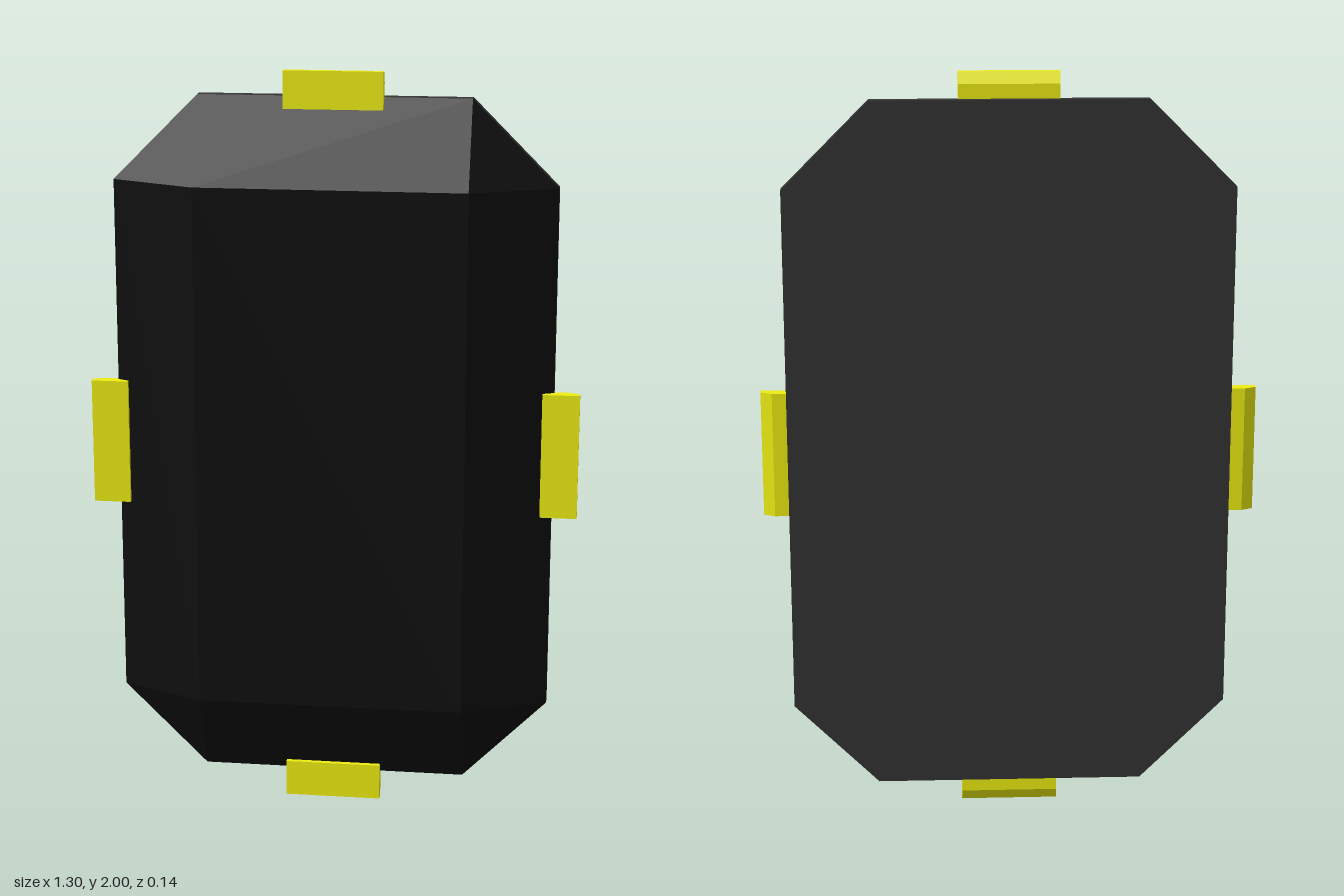
import * as THREE from 'three';

const HALF_W = 0.58, HALF_H = 0.928;   // outer outline
const IN_W = 0.355, IN_H = 0.703;      // raised front panel
const BACK_Z = -0.068, RIM_Z = -0.037, FRONT_Z = 0.067;
const MID_Y = 1.003;

const paint = (color) => new THREE.MeshStandardMaterial({ color, flatShading: true });

// Corner-cut outline, counter-clockwise from the right edge
const outline = [
  [HALF_W, -IN_H], [HALF_W, IN_H], [IN_W, HALF_H], [-IN_W, HALF_H],
  [-HALF_W, IN_H], [-HALF_W, -IN_H], [-IN_W, -HALF_H], [IN_W, -HALF_H],
];

function addMesh(group, name, geometry, material) {
  const mesh = new THREE.Mesh(geometry, material);
  mesh.name = name;
  group.add(mesh);
  return mesh;
}

// Sloped front: each outline corner joins the nearest panel corner
function bevelledFront() {
  const outer = outline.map(([x, y]) => [x, y, RIM_Z]);
  const inner = outline.map(([x, y]) => [Math.sign(x) * IN_W, Math.sign(y) * IN_H, FRONT_Z]);
  const pos = [];
  for (let i = 0; i < 8; i++) {
    const j = (i + 1) % 8;
    pos.push(...outer[i], ...outer[j], ...inner[j]);
    // odd edges are cut corners, where both inner points coincide
    if (i % 2 === 0) pos.push(...outer[i], ...inner[j], ...inner[i]);
  }
  // flat front panel
  pos.push(...inner[0], ...inner[2], ...inner[4], ...inner[0], ...inner[4], ...inner[6]);
  const geo = new THREE.BufferGeometry();
  geo.setAttribute('position', new THREE.Float32BufferAttribute(pos, 3));
  geo.computeVertexNormals();
  return geo;
}

// Clip block pointing up, with its outer back edge chamfered
function clipGeometry(inner, outer, width) {
  const shape = new THREE.Shape([
    [0.012, inner], [0.045, inner], [0.045, outer - 0.03], [0.03, outer], [0.012, outer],
  ].map(([x, y]) => new THREE.Vector2(x, y)));
  const geo = new THREE.ExtrudeGeometry(shape, { depth: width, bevelEnabled: false });
  return geo.translate(0, 0, -width / 2).rotateY(Math.PI / 2);
}

export function createModel() {
  const model = new THREE.Group();
  model.name = 'panel';
  const yellow = paint(0xeeee11);

  // Back plate with its thin rim
  const plate = new THREE.ExtrudeGeometry(
    new THREE.Shape(outline.map(([x, y]) => new THREE.Vector2(x, y))),
    { depth: RIM_Z - BACK_Z, bevelEnabled: false });
  addMesh(model, 'backPlate', plate, paint(0x333333)).position.set(0, MID_Y, BACK_Z);

  // Bevelled front shell
  addMesh(model, 'frontShell', bevelledFront(), paint(0x0d0d0d)).position.y = MID_Y;

  // Four edge clips
  const ends = clipGeometry(0.9, 0.998, 0.258);
  const sides = clipGeometry(0.55, 0.648, 0.335);
  ['topClip', 'rightClip', 'bottomClip', 'leftClip'].forEach((name, i) => {
    const clip = addMesh(model, name, i % 2 ? sides : ends, yellow);
    clip.rotation.z = i * Math.PI / 2;
    clip.position.y = 1.0;
  });
  return model;
}
